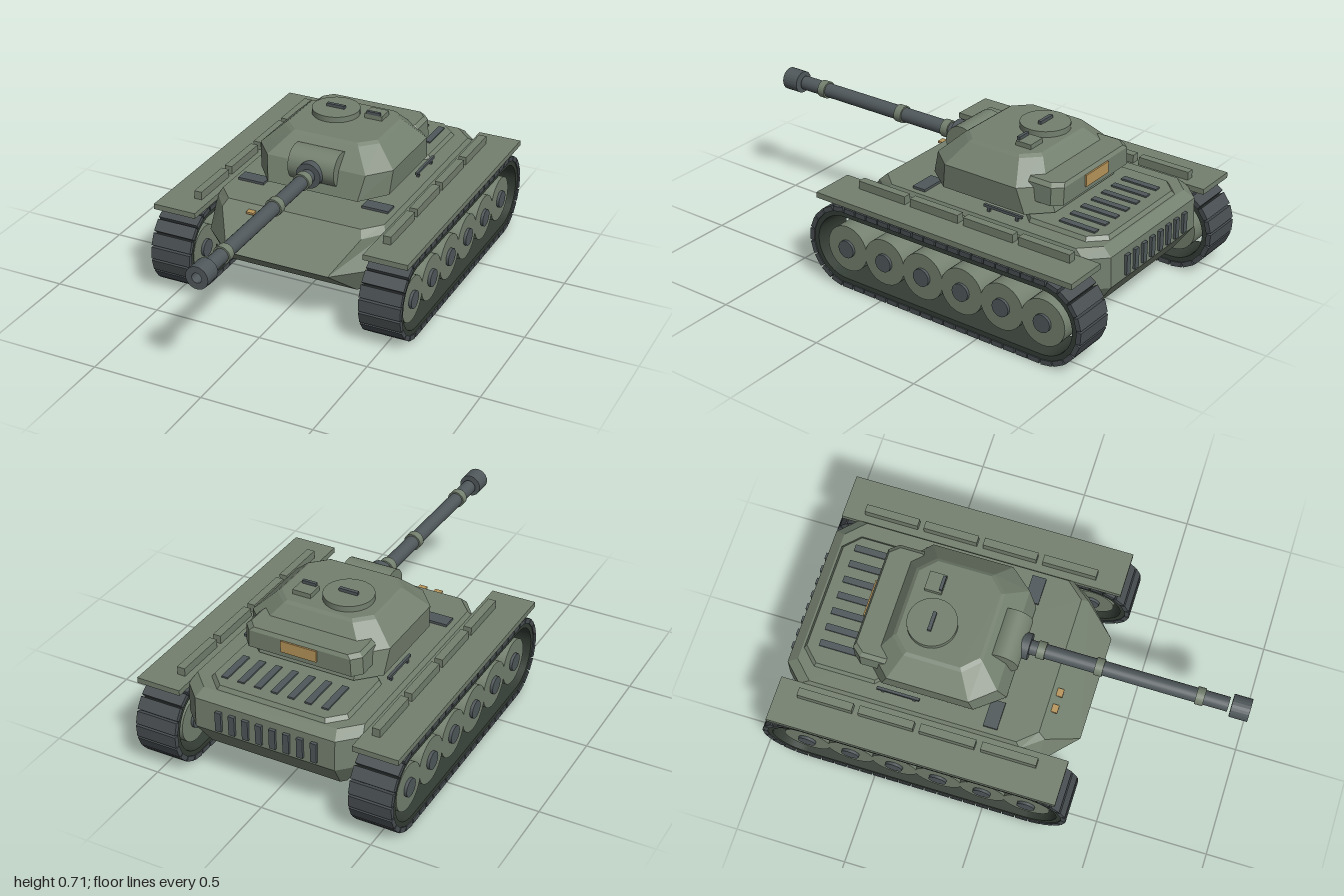
import * as THREE from 'three';

const mat = (name, color) => Object.assign(new THREE.MeshStandardMaterial({ color }), { name });

export function createModel() {
  const root = new THREE.Group();
  root.name = 'tank';
  const green = mat('armour green', 0x74806f);
  const steel = mat('gun steel', 0x50585b);
  const tread = mat('track steel', 0x484e51);
  const shade = mat('dark track belt', 0x343d35);
  const amber = mat('amber lamp', 0xb8955a);

  const add = (name, geo, material, x = 0, y = 0, z = 0, parent = root) => {
    const m = new THREE.Mesh(geo, material);
    m.name = name;
    m.position.set(x, y, z);
    parent.add(m);
    return m;
  };
  // box given by its limits
  const box = (name, material, x0, x1, y0, y1, z0, z1, parent = root) =>
    add(name, new THREE.BoxGeometry(x1 - x0, y1 - y0, z1 - z0), material,
      (x0 + x1) / 2, (y0 + y1) / 2, (z0 + z1) / 2, parent);
  const cylZ = (name, material, r, z0, z1, y) =>
    add(name, new THREE.CylinderGeometry(r, r, z1 - z0, 24).rotateX(Math.PI / 2), material, 0, y, (z0 + z1) / 2);

  // faceted solid through octagonal rings: y, half width, front, back, front and back corner cuts
  function loft(rings) {
    const pts = rings.map(({ y, w, f, b, cf, cb }) => {
      const half = [[w - cf[0], f], [w, f - cf[1]], [w, b + cb[1]], [w - cb[0], b]];
      const other = half.map(([x, z]) => [-x, z]).reverse();
      return [...half, ...other].map(([x, z]) => [x, y, z]);
    });
    const pos = [];
    const tri = (...p) => p.forEach(v => pos.push(...v));
    for (let r = 0; r < pts.length - 1; r++) {
      for (let i = 0; i < 8; i++) {
        const j = (i + 1) % 8, a = pts[r], c = pts[r + 1];
        tri(a[i], a[j], c[j]);
        tri(a[i], c[j], c[i]);
      }
    }
    const low = pts[0], top = pts[pts.length - 1];
    for (let i = 1; i < 7; i++) {
      tri(low[0], low[i + 1], low[i]);
      tri(top[0], top[i], top[i + 1]);
    }
    const g = new THREE.BufferGeometry();
    g.setAttribute('position', new THREE.Float32BufferAttribute(pos, 3));
    g.computeVertexNormals();
    return g;
  }

  // hull
  add('hull', loft([
    { y: 0.155, w: 0.32, f: 0.2, b: -0.88, cf: [0.01, 0.01], cb: [0.02, 0.02] },
    { y: 0.27, w: 0.4, f: 0.34, b: -0.96, cf: [0.16, 0.15], cb: [0.08, 0.08] },
    { y: 0.405, w: 0.4, f: 0.205, b: -0.955, cf: [0.07, 0.09], cb: [0.08, 0.08] },
    { y: 0.435, w: 0.385, f: 0.175, b: -0.91, cf: [0.07, 0.08], cb: [0.08, 0.08] },
  ]), green);
  add('engineDeck', loft([
    { y: 0.43, w: 0.32, f: -0.5, b: -0.905, cf: [0.06, 0.06], cb: [0.07, 0.07] },
    { y: 0.452, w: 0.305, f: -0.5, b: -0.89, cf: [0.06, 0.06], cb: [0.065, 0.065] },
  ]), green);
  for (let i = 0; i < 7; i++) {
    const x = -0.212 + i * 0.077;
    box('deckLouvre', steel, x - 0.015, x + 0.015, 0.445, 0.459, -0.84, -0.67);
  }
  for (let i = 0; i < 8; i++) {
    const x = -0.23 + i * 0.0625;
    box('rearLouvre', steel, x - 0.014, x + 0.014, 0.285, 0.375, -0.97, -0.95);
  }
  for (const x of [-0.188, -0.113]) box('headlamp', amber, x - 0.018, x + 0.018, 0.407, 0.416, 0.193, 0.222);

  // turret
  add('turretRing', new THREE.CylinderGeometry(0.255, 0.255, 0.03, 40), steel, 0, 0.447, -0.3);
  add('turret', loft([
    { y: 0.458, w: 0.31, f: 0, b: -0.62, cf: [0.095, 0.12], cb: [0.09, 0.09] },
    { y: 0.57, w: 0.32, f: -0.035, b: -0.585, cf: [0.085, 0.1], cb: [0.09, 0.09] },
    { y: 0.655, w: 0.23, f: -0.12, b: -0.515, cf: [0.07, 0.07], cb: [0.07, 0.07] },
    { y: 0.665, w: 0.215, f: -0.135, b: -0.5, cf: [0.065, 0.065], cb: [0.065, 0.065] },
  ]), green);
  add('turretBustle', loft([
    { y: 0.512, w: 0.272, f: -0.5, b: -0.67, cf: [0.02, 0.02], cb: [0.035, 0.04] },
    { y: 0.59, w: 0.268, f: -0.5, b: -0.67, cf: [0.02, 0.02], cb: [0.035, 0.04] },
    { y: 0.605, w: 0.25, f: -0.5, b: -0.66, cf: [0.02, 0.02], cb: [0.035, 0.04] },
  ]), green);
  box('rearPanel', amber, -0.083, 0.083, 0.535, 0.587, -0.677, -0.669);
  add('cupola', new THREE.CylinderGeometry(0.108, 0.108, 0.03, 32), green, -0.065, 0.676, -0.37);
  box('cupolaHandle', steel, -0.108, -0.022, 0.69, 0.705, -0.378, -0.362);
  box('loaderHatch', green, 0.07, 0.155, 0.66, 0.686, -0.45, -0.375);
  box('loaderHandle', steel, 0.08, 0.145, 0.686, 0.7, -0.388, -0.374);

  // gun
  const gunY = 0.55;
  add('mantlet', new THREE.CylinderGeometry(0.078, 0.078, 0.22, 32).rotateZ(Math.PI / 2), green, 0, 0.562, -0.06);
  box('mantletBase', green, -0.11, 0.11, 0.484, 0.62, -0.12, -0.02);
  cylZ('gunCollar', steel, 0.058, -0.03, 0.04, gunY);
  cylZ('gunBarrel', steel, 0.032, 0, 0.908, gunY);
  for (const z of [0.09, 0.345, 0.785]) cylZ('barrelBand', green, 0.039, z - 0.018, z + 0.018, gunY);
  const bore = [[0, 0.01], [0, 0], [0.05, 0], [0.05, 0.08], [0.022, 0.08], [0.022, 0.03], [0, 0.03]]
    .slice(1).map(([r, h]) => new THREE.Vector2(r, h));
  const muzzleGeo = new THREE.LatheGeometry(bore, 24).toNonIndexed();
  muzzleGeo.computeVertexNormals();
  add('muzzleBrake', muzzleGeo.rotateX(Math.PI / 2), steel, 0, gunY, 0.92);

  // running gear, shared by both sides
  const R = 0.178, cy = 0.188, zF = 0.19, zB = -0.81, run = zF - zB;
  const stadium = (r, Type) => {
    const s = new Type();
    s.absarc(zF, cy, r, -Math.PI / 2, Math.PI / 2, false);
    s.absarc(zB, cy, r, Math.PI / 2, Math.PI * 1.5, false);
    s.closePath();
    return s;
  };
  const beltShape = stadium(0.17, THREE.Shape);
  beltShape.holes.push(stadium(0.146, THREE.Path));
  const beltGeo = new THREE.ExtrudeGeometry(beltShape, { depth: 0.18, bevelEnabled: false, curveSegments: 20 })
    .translate(0, 0, -0.09).rotateY(-Math.PI / 2);
  const arc = Math.PI * R, total = 2 * (run + arc), links = 52;
  // distance along the track to position and pitch
  const onTrack = d => {
    if (d < run) return [zB + d, cy - R, 0];
    if (d < run + arc) {
      const t = (d - run) / R;
      return [zF + R * Math.sin(t), cy - R * Math.cos(t), t];
    }
    if (d < 2 * run + arc) return [zF - (d - run - arc), cy + R, Math.PI];
    const t = Math.PI + (d - 2 * run - arc) / R;
    return [zB + R * Math.sin(t), cy - R * Math.cos(t), t];
  };
  const linkGeo = new THREE.BoxGeometry(0.19, 0.022, total / links - 0.006);
  const wheelGeo = new THREE.CylinderGeometry(0.104, 0.104, 0.14, 32).rotateZ(Math.PI / 2);
  const hubGeo = new THREE.CylinderGeometry(0.04, 0.04, 0.165, 20).rotateZ(Math.PI / 2);

  for (const s of [1, -1]) {
    const side = new THREE.Group();
    side.name = s > 0 ? 'leftRunningGear' : 'rightRunningGear';
    root.add(side);
    const cx = s * 0.495;
    add('trackBelt', beltGeo, shade, cx, 0, 0, side);
    for (let i = 0; i < links; i++) {
      const [z, y, a] = onTrack((i + 0.5) * total / links);
      add('trackLink', linkGeo, tread, cx, y, z, side).rotation.x = -a;
    }
    for (let i = 0; i < 6; i++) {
      const z = 0.195 - i * 0.2;
      add('roadWheel', wheelGeo, green, cx, 0.174, z, side);
      add('wheelHub', hubGeo, steel, cx, 0.174, z, side);
    }
    const sbox = (name, m, x0, x1, ...r) => box(name, m, Math.min(s * x0, s * x1), Math.max(s * x0, s * x1), ...r, side);
    sbox('fender', green, 0.395, 0.597, 0.388, 0.413, -0.955, 0.33);
    // stowage rails on the fender
    for (let i = 0; i < 4; i++) {
      const z = -0.857 + i * 0.273;
      sbox('fenderRail', green, 0.43, 0.466, 0.41, 0.45, z, z + 0.245);
    }
    // hatch plate and grab rail on the hull top
    sbox('driverHatch', steel, 0.236, 0.36, 0.43, 0.446, -0.06, 0.003);
    sbox('grabRail', steel, 0.33, 0.342, 0.452, 0.464, -0.54, -0.35);
    for (const z of [-0.52, -0.38]) sbox('grabRailPost', steel, 0.331, 0.341, 0.43, 0.455, z, z + 0.012);
  }
  return root;
}
